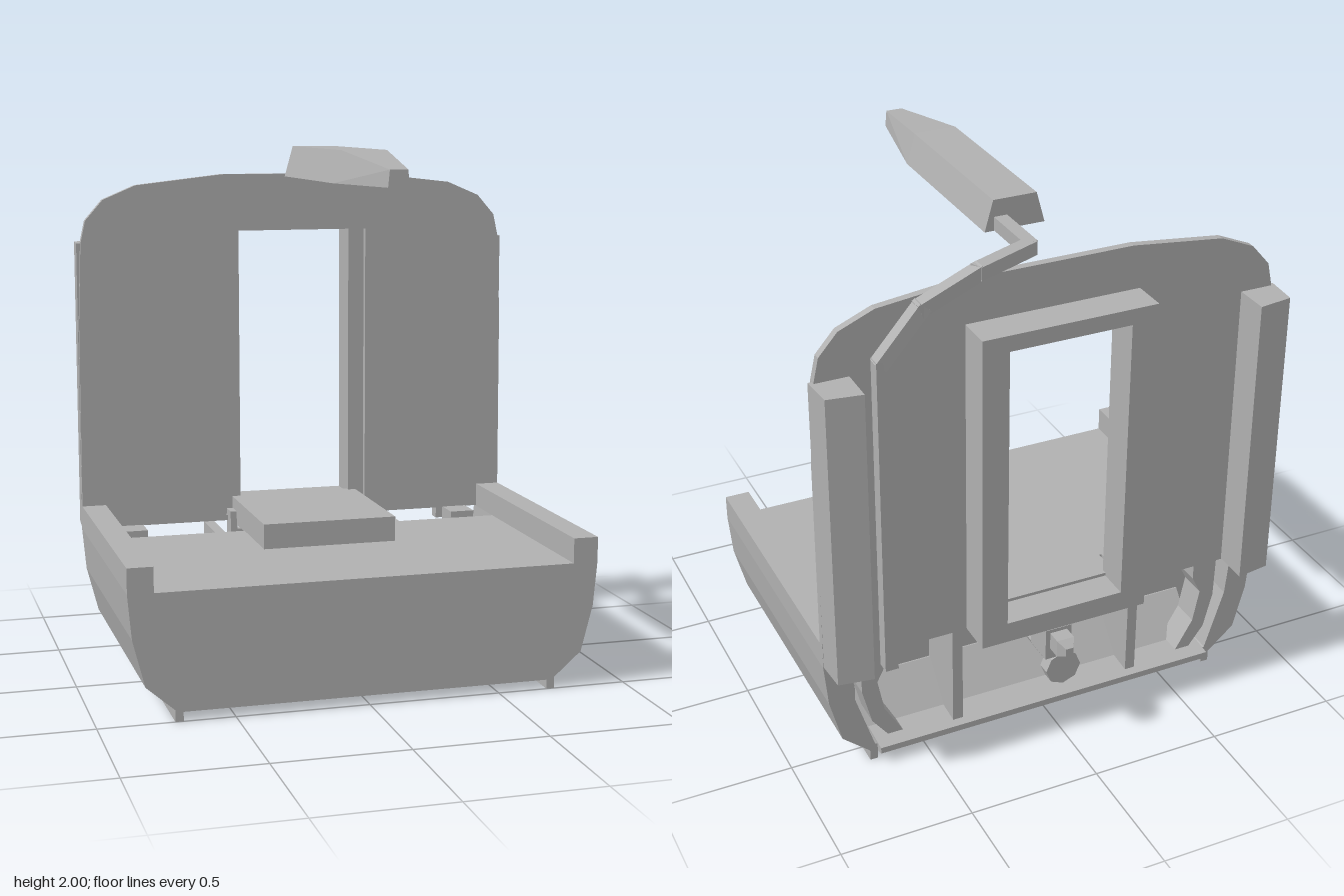
import * as THREE from 'three';
import { ConvexGeometry } from 'three/addons/geometries/ConvexGeometry.js';

const grey = new THREE.MeshStandardMaterial({ color: 0xb0b0b0 });
grey.name = 'plainGrey';

export function createModel() {
  const root = new THREE.Group();
  root.name = 'carriageEnd';

  const add = (name, geometry) => {
    const flat = geometry.index ? geometry.toNonIndexed() : geometry;
    flat.computeVertexNormals();
    const mesh = new THREE.Mesh(flat, grey);
    mesh.name = name;
    root.add(mesh);
    return mesh;
  };
  const shapeOf = (pts) => new THREE.Shape(pts.map(([x, y]) => new THREE.Vector2(x, y)));
  const extrude = (shape, depth) => new THREE.ExtrudeGeometry(shape, { depth, bevelEnabled: false });
  const prismZ = (name, shape, z0, z1) => add(name, extrude(shape, z1 - z0).translate(0, 0, z0));
  const box = (name, x0, x1, y0, y1, z0, z1) =>
    add(name, new THREE.BoxGeometry(x1 - x0, y1 - y0, z1 - z0)
      .translate((x0 + x1) / 2, (y0 + y1) / 2, (z0 + z1) / 2));
  const hull = (name, pts) => add(name, new ConvexGeometry(pts.map((p) => new THREE.Vector3(...p))));
  const mirrored = (pts) => [...pts, ...pts.map(([x, y]) => [-x, y]).reverse()];
  const rectHole = (x, y0, y1) =>
    new THREE.Path([[-x, y0], [-x, y1], [x, y1], [x, y0]].map(([a, b]) => new THREE.Vector2(a, b)));

  // Lower body with a sunken deck between two side rails
  const flank = [[0.71, 0.035], [0.825, 0.135], [0.87, 0.31], [0.885, 0.475], [0.885, 0.57], [0.79, 0.57]];
  prismZ('lowerBody', shapeOf(mirrored([...flank, [0.79, 0.475]])), -0.36, 0.5);

  // Open recess at the back: sloping floor with a lip
  const floorProfile = shapeOf([[-0.35, 0.035], [-0.35, 0.22], [-0.365, 0.22], [-0.49, 0.08],
    [-0.615, 0.07], [-0.615, 0.045], [-0.58, 0.035]]);
  add('recessFloor', extrude(floorProfile, 1.38).rotateY(-Math.PI / 2).translate(0.69, 0, 0));

  // End wall with an arched roofline and a doorway
  const wall = shapeOf(mirrored([[0.885, 0.478], [0.882, 1.3], [0.87, 1.62], [0.85, 1.71],
    [0.78, 1.79], [0.65, 1.845], [0.3, 1.885]]));
  wall.holes.push(rectHole(0.295, 0.5, 1.66));
  prismZ('endWall', wall, -0.585, -0.555);

  // Gangway door frame
  const frame = shapeOf([[-0.33, 0.48], [0.33, 0.48], [0.33, 1.72], [-0.33, 1.72]]);
  frame.holes.push(rectHole(0.23, 0.56, 1.66));
  prismZ('doorFrame', frame, -0.72, -0.58);
  box('doorStep', -0.265, 0.262, 0.47, 0.572, -0.6, -0.03);

  for (const s of [-1, 1]) {
    const side = s > 0 ? 'left' : 'right';
    const flip = (pts) => shapeOf(pts.map(([x, y]) => [x * s, y]));
    const span = (a, b) => (s > 0 ? [a, b] : [-b, -a]);

    // Flank continuing beside the recess
    prismZ(side + 'Flank', flip([...flank, [0.79, 0.475], [0.775, 0.31], [0.7, 0.07], [0.6, 0.035]]), -0.58, -0.36);
    // Corner pillar on the outside of the wall
    const pillar = flip([[0.885, 0.57], [0.875, 0.7], [0.745, 0.72], [0.745, 0.57]]);
    add(side + 'CornerPillar', extrude(pillar, 1.14).rotateX(-Math.PI / 2).translate(0, 0.48, 0));
    // Curved bracket in the recess
    prismZ(side + 'Bracket', flip([[0.64, 0.48], [0.74, 0.48], [0.735, 0.3], [0.7, 0.16],
      [0.64, 0.08], [0.58, 0.08], [0.65, 0.2], [0.675, 0.33], [0.64, 0.4]]), -0.56, -0.45);
    box(side + 'Skid', ...span(0.69, 0.72), 0, 0.045, -0.58, 0.5);
    box(side + 'Rib', ...span(0.345, 0.385), 0.06, 0.475, -0.58, -0.35);
    box(side + 'StepBlock', ...span(0.262, 0.29), 0.42, 0.525, -0.57, -0.5);
    box(side + 'BufferArm', ...span(0.1, 0.14), 0.42, 0.48, -0.63, -0.35);
  }

  // Coupler with round head, pin and mounting
  box('couplerCrossbar', -0.26, 0.26, 0.42, 0.45, -0.55, -0.51);
  add('couplerShaft', new THREE.CylinderGeometry(0.035, 0.035, 0.34, 8)
    .rotateX(Math.PI / 2).translate(0, 0.29, -0.52));
  add('couplerHead', new THREE.CylinderGeometry(0.07, 0.07, 0.05, 8)
    .rotateX(Math.PI / 2).translate(0, 0.29, -0.695));
  box('pinMount', -0.03, 0.075, 0.35, 0.478, -0.72, -0.6);
  const pin = [];
  for (const [z, r] of [[-0.72, 0.034], [-0.775, 0.034], [-0.81, 0.015]]) {
    for (const a of [-r, r]) for (const b of [-r, r]) pin.push([0.023 + a, 0.43 + b, z]);
  }
  hull('couplerPin', pin);

  // Roof exhaust with a tapered nose
  const nose = [];
  for (const s of [-1, 1]) {
    for (const z of [-0.275, 0.41]) nose.push([s * 0.115, 1.885, z], [s * 0.083, 2, z]);
    nose.push([s * 0.038, 1.885, 0.81], [s * 0.032, 1.945, 0.81]);
  }
  hull('roofExhaust', nose);

  // Square pipe over the roof and down the back of the wall
  const path = [[0.055, 1.912, -0.25], [0.055, 1.912, -0.5], [0.29, 1.915, -0.605],
    [0.5, 1.83, -0.612], [0.645, 1.66, -0.61], [0.645, 0.44, -0.61]].map((p) => new THREE.Vector3(...p));
  for (let i = 1; i < path.length; i++) {
    const a = path[i - 1], b = path[i];
    const part = add('pipeSection' + i, new THREE.BoxGeometry(0.05, 0.05, a.distanceTo(b) + 0.025));
    part.position.copy(a).lerp(b, 0.5);
    if (i === path.length - 1) part.rotation.x = Math.PI / 2;
    else part.lookAt(b);
  }
  return root;
}
